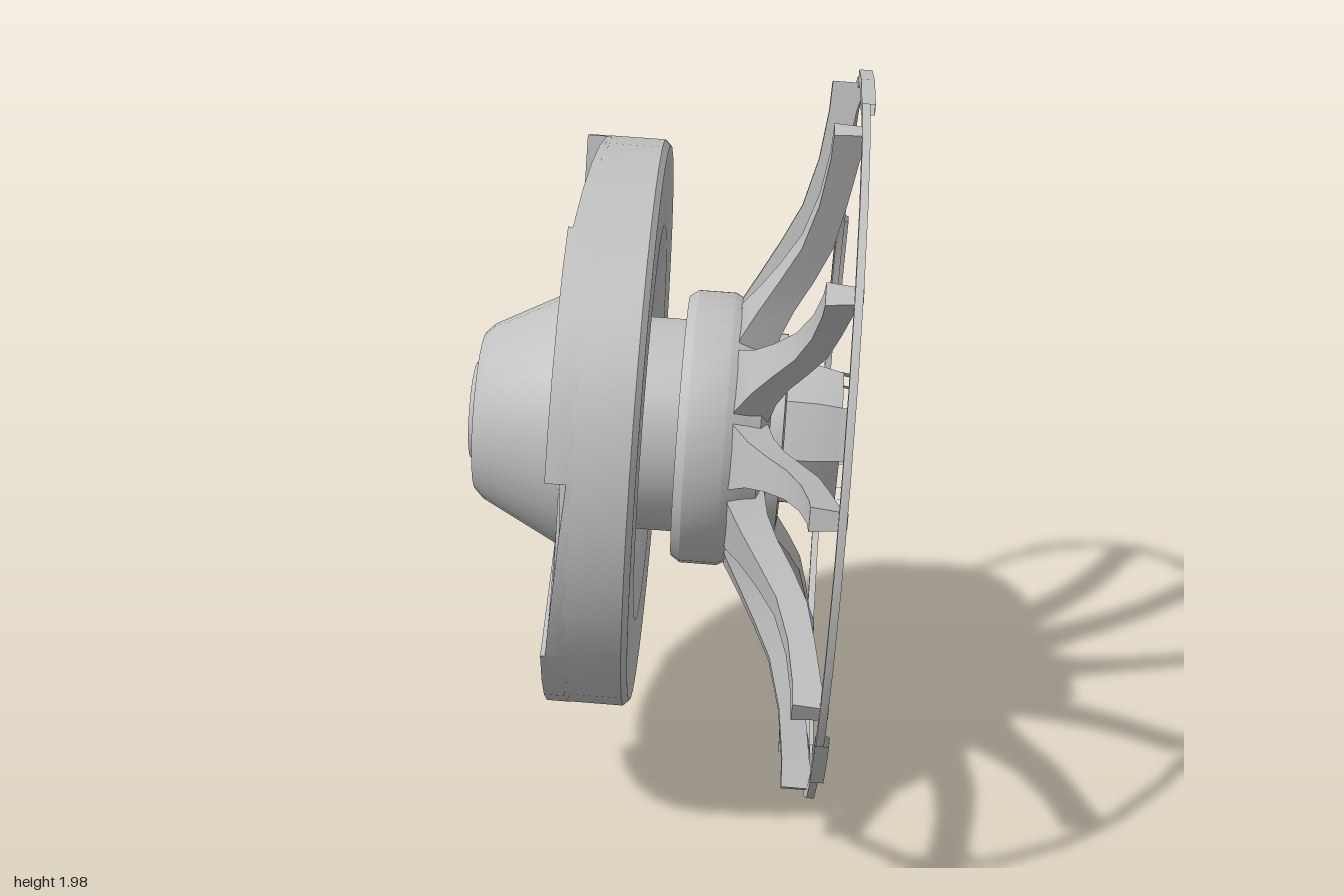
import * as THREE from 'three';
import { toCreasedNormals } from 'three/addons/utils/BufferGeometryUtils.js';

const metal = new THREE.MeshStandardMaterial({ color: 0xc0c0c0, side: THREE.DoubleSide });
metal.name = 'light grey metal';
const rad = THREE.MathUtils.degToRad;

function part(name, geometry, crease = 0.5) {
  const mesh = new THREE.Mesh(toCreasedNormals(geometry, crease), metal);
  mesh.name = name;
  return mesh;
}

// Lathe about the x axis; profile is [radius, x]; angles run from +z towards +y
function turned(name, profile, sides, from = 0, to = 360, crease = 0.5) {
  const pts = profile.map(([r, x]) => new THREE.Vector2(r, x));
  const g = new THREE.LatheGeometry(pts, sides, rad(-to), rad(to - from));
  return part(name, g.rotateZ(-Math.PI / 2), crease);
}

// Skin a grid of rows of points
function skin(rows) {
  const pos = [];
  for (let i = 0; i < rows.length - 1; i++) {
    for (let j = 0; j < rows[i].length - 1; j++) {
      const a = rows[i][j], b = rows[i][j + 1], c = rows[i + 1][j + 1], d = rows[i + 1][j];
      pos.push(...a, ...b, ...c, ...a, ...c, ...d);
    }
  }
  const g = new THREE.BufferGeometry();
  g.setAttribute('position', new THREE.Float32BufferAttribute(pos, 3));
  return g;
}

// Back face of the drum with four ramped recesses that step at the rim
function drumBack() {
  const steps = [[-32, 0], [-32, 0.012], [-22, 0.022], [-12, 0.032], [-2, 0.042], [8, 0.052],
    [8, 0], [18, 0], [28, 0], [38, 0], [48, 0]];
  const cols = [];
  for (let k = 0; k < 4; k++) for (const [a, d] of steps) cols.push([a + 90 * k, d]);
  cols.push([328, 0]);
  return skin(cols.map(([a, d]) => {
    const at = (r, x) => [x, r * Math.sin(rad(a)), r * Math.cos(rad(a))];
    return [at(0.33, -0.265), at(0.77, -0.265 + d), at(0.77, -0.2)];
  }));
}

// Curved tapering spoke along +z; sections are [radius, back x, front x, half width]
function spokeGeometry() {
  const sections = [[0.28, 0.16, 0.27, 0.11], [0.36, 0.18, 0.285, 0.085], [0.43, 0.22, 0.315, 0.06],
    [0.52, 0.27, 0.36, 0.045], [0.62, 0.32, 0.4, 0.037], [0.75, 0.355, 0.425, 0.032],
    [0.88, 0.372, 0.445, 0.029], [0.955, 0.375, 0.465, 0.03]];
  const rows = sections.map(([r, b, f, w]) => [
    [b, -w, r], [f, -0.7 * w, r], [f, 0.7 * w, r], [b, w, r], [b, -w, r]]);
  rows.push(Array(5).fill([0.42, 0, 0.955]));
  return skin(rows);
}

export function createModel() {
  const model = new THREE.Group();
  model.name = 'spokedWheelAndHub';
  const axle = new THREE.Group();
  axle.name = 'axle';
  axle.position.y = 1.015;
  axle.rotation.z = -0.06;
  model.add(axle);

  // Drum with a bowl in its front face
  axle.add(turned('drum', [[0.77, -0.21], [0.77, -0.06], [0.755, -0.045], [0.54, -0.047],
    [0.48, -0.07], [0.42, -0.12], [0.36, -0.16], [0.28, -0.18]], 36));
  axle.add(part('drumBack', drumBack(), 0.3));

  // Tapered rear cone and its recessed cap
  axle.add(turned('rearCone', [[0.15, -0.51], [0.215, -0.51], [0.24, -0.485], [0.355, -0.262], [0.36, -0.25]], 28));
  axle.add(turned('rearCap', [[0, -0.515], [0.085, -0.515], [0.095, -0.53], [0.13, -0.53],
    [0.15, -0.505]], 24));

  // Neck, flange and stepped front hub
  axle.add(turned('neck', [[0.29, -0.2], [0.29, 0.05]], 28));
  axle.add(turned('flange', [[0.28, 0.035], [0.355, 0.035], [0.372, 0.06], [0.372, 0.16],
    [0.345, 0.21], [0.33, 0.25], [0.27, 0.275], [0.27, 0.31], [0.24, 0.315], [0.235, 0.29], [0.19, 0.285]], 32));

  // Faceted nut with a socket, broken collar and centre boss
  axle.add(turned('nut', [[0.205, 0.27], [0.2, 0.4], [0.185, 0.465], [0.15, 0.465],
    [0.135, 0.37], [0, 0.37]], 8, 0, 360, 0.2));
  for (let k = 0; k < 4; k++) {
    axle.add(turned('nutCollar', [[0.187, 0.46], [0.18, 0.5], [0.145, 0.5], [0.15, 0.46]],
      1, k * 90, k * 90 + 45, 0.2));
  }
  axle.add(turned('centreBoss', [[0.075, 0.365], [0.06, 0.41], [0, 0.42]], 12));

  // Ten spokes on an eleven-step spacing, one place left empty
  const spoke = spokeGeometry();
  for (let k = 0; k < 11; k++) {
    if (k === 5) continue;
    const mesh = part('spoke', spoke, 0.6);
    mesh.rotation.x = -rad(8.5 + k * 32.4 + (k > 5 ? 2.5 : 0));
    axle.add(mesh);
  }

  // Thin outer ring with raised tabs
  axle.add(turned('outerRing', [[0.95, 0.443], [0.98, 0.443], [0.98, 0.463], [0.95, 0.463], [0.95, 0.443]], 26));
  for (const [from, to] of [[158, 174], [78, 100], [255, 268], [318, 330]]) {
    axle.add(turned('ringTab', [[0.96, 0.44], [0.99, 0.44], [0.99, 0.475], [0.96, 0.475], [0.96, 0.44]], 2, from, to));
  }
  return model;
}
